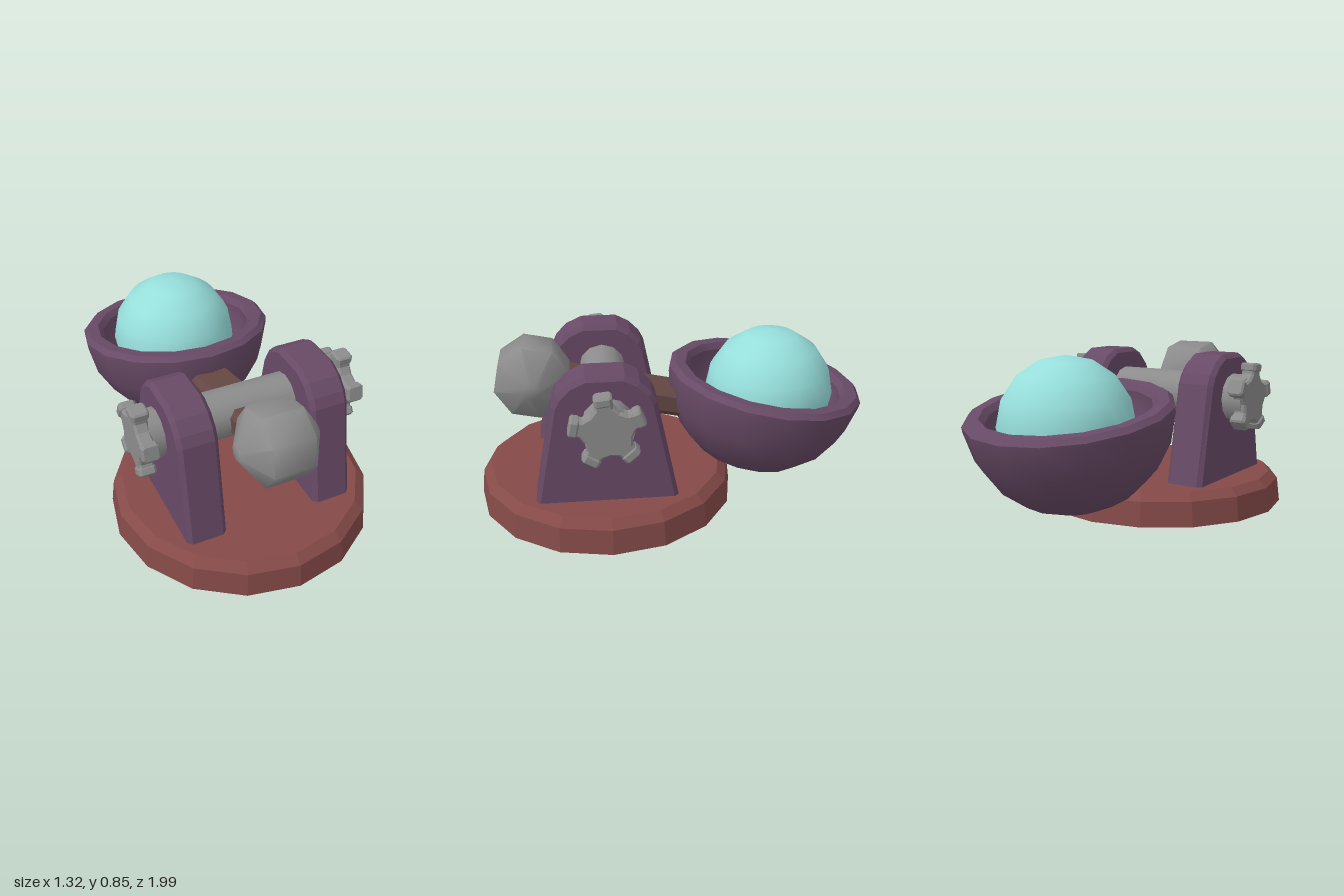
import * as THREE from 'three';
import { toCreasedNormals } from 'three/addons/utils/BufferGeometryUtils.js';

const AXLE_Y = 0.585, AXLE_Z = 0.335;

function material(name, color, flatShading = false) {
  const m = new THREE.MeshStandardMaterial({ color, flatShading });
  m.name = name;
  return m;
}

function add(parent, name, geometry, mat, x = 0, y = 0, z = 0) {
  const mesh = new THREE.Mesh(geometry, mat);
  mesh.name = name;
  mesh.position.set(x, y, z);
  parent.add(mesh);
  return mesh;
}

function lathe(points, segments, crease) {
  const g = new THREE.LatheGeometry(points.map(p => new THREE.Vector2(p[0], p[1])), segments);
  return toCreasedNormals(g, crease);
}

// Bevelled plate, outlined in (u, v), centred on its thickness
function plate(points, thickness, bevel) {
  const shape = new THREE.Shape(points.map(p => new THREE.Vector2(p[0], p[1])));
  const g = new THREE.ExtrudeGeometry(shape, {
    depth: thickness - 2 * bevel, bevelEnabled: bevel > 0, bevelThickness: bevel,
    bevelSize: bevel, bevelOffset: -bevel, bevelSegments: 1,
  });
  return g.translate(0, 0, -(thickness - 2 * bevel) / 2);
}

export function createModel() {
  const model = new THREE.Group();
  model.name = 'launcher';
  const red = material('baseRed', 0x844a48);
  const purple = material('purple', 0x684a66);
  const grey = material('grey', 0x8c8c8c);
  const brown = material('armBrown', 0x654844);
  const teal = material('ballTeal', 0x96dedb);

  // Round base with a chamfered top edge
  add(model, 'base', lathe([[0, 0], [0.66, 0], [0.645, 0.125], [0.6, 0.165], [0, 0.165]], 16, 0.2),
    red, 0, 0, AXLE_Z);

  // Axle
  add(model, 'axle', toCreasedNormals(new THREE.CylinderGeometry(0.122, 0.122, 1.08, 12).rotateZ(Math.PI / 2), 0.7),
    grey, 0, AXLE_Y + 0.003, AXLE_Z);

  // Side supports, outlined as (-z, y)
  const supportOutline = [[-0.7, 0.12], [0.01, 0.12], [-0.1, 0.67], [-0.125, 0.72], [-0.18, 0.775],
    [-0.25, 0.812], [-0.435, 0.812], [-0.515, 0.775], [-0.57, 0.72], [-0.595, 0.67]];
  const support = plate(supportOutline, 0.2, 0.022).rotateY(Math.PI / 2);

  // Five-toothed knob: concave gaps between the teeth
  const teeth = [0, 1, 2, 3, 4].map(i => THREE.MathUtils.degToRad(24 + i * 72));
  const knobOutline = [];
  for (const a of teeth) {
    for (const [r, d] of [[0.13, -0.32], [0.165, -0.23], [0.165, 0.23], [0.13, 0.32], [0.115, 0.628]]) {
      knobOutline.push([r * Math.cos(a + d), r * Math.sin(a + d)]);
    }
  }
  const knobPlate = plate(knobOutline, 0.07, 0.01).rotateY(Math.PI / 2);
  const s = 0.043, c = 0.03;
  const capOutline = [[-c, -s], [c, -s], [s, -c], [s, c], [c, s], [-c, s], [-s, c], [-s, -c]];
  const cap = plate(capOutline, 0.045, 0.008).rotateY(Math.PI / 2);

  for (const side of [-1, 1]) {
    const label = side > 0 ? 'left' : 'right';
    add(model, label + 'Support', support, purple, side * 0.335, 0, 0);
    const knob = new THREE.Group();
    knob.name = label + 'Knob';
    knob.position.set(side * 0.53, AXLE_Y + 0.005, AXLE_Z + 0.005);
    add(knob, 'knobPlate', knobPlate, grey);
    for (const a of teeth) {
      // Wide cap on each tooth
      const mesh = add(knob, 'toothCap', cap, grey, 0, 0.157 * Math.sin(a), -0.157 * Math.cos(a));
      mesh.rotation.x = -a + Math.PI;
      mesh.rotation.x = Math.PI - a;
      mesh.geometry = cap.clone().rotateY(Math.PI / 2);
      mesh.rotation.x = a;
    }
    model.add(knob);
  }

  // Tilted throwing arm with its counterweight
  const arm = new THREE.Group();
  arm.name = 'arm';
  arm.position.set(0, 0.575, AXLE_Z);
  arm.rotation.x = -THREE.MathUtils.degToRad(12);
  const beamOutline = [[-0.08, -0.07], [0.08, -0.07], [0.11, -0.04], [0.11, 0.04],
    [0.08, 0.07], [-0.08, 0.07], [-0.11, 0.04], [-0.11, -0.04]];
  add(arm, 'beam', plate(beamOutline, 0.7, 0), brown, 0, 0, -0.05);
  const weight = lathe([[0, -0.2], [0.04, -0.2], [0.19, -0.105], [0.19, 0.105], [0.04, 0.2], [0, 0.2]], 8, 1.1);
  add(arm, 'counterweight', weight.rotateX(0).rotateZ(Math.PI / 2).rotateX(Math.PI / 8), grey, 0, 0, 0.365);
  model.add(arm);

  // Hollow bowl, leaning back, with a chamfered rim
  const profile = [];
  for (let i = 0; i <= 5; i++) {
    const a = (i / 5) * 1.5;
    profile.push([0.505 * Math.sin(a), -0.505 * Math.cos(a)]);
  }
  profile.push([0.505, -0.01], [0.48, 0.015], [0.425, 0.015], [0.4, -0.015]);
  for (let i = 5; i >= 0; i--) {
    const a = (i / 5) * 1.4;
    profile.push([0.405 * Math.sin(a), -0.41 * Math.cos(a)]);
  }
  const bowl = add(model, 'bowl', lathe(profile, 16, 0.55), purple, 0, 0.595, -0.5);
  bowl.rotation.x = -THREE.MathUtils.degToRad(10);

  // Ball resting in the bowl
  add(model, 'ball', new THREE.SphereGeometry(0.33, 24, 8), teal, 0, 0.52, -0.52);

  return model;
}
